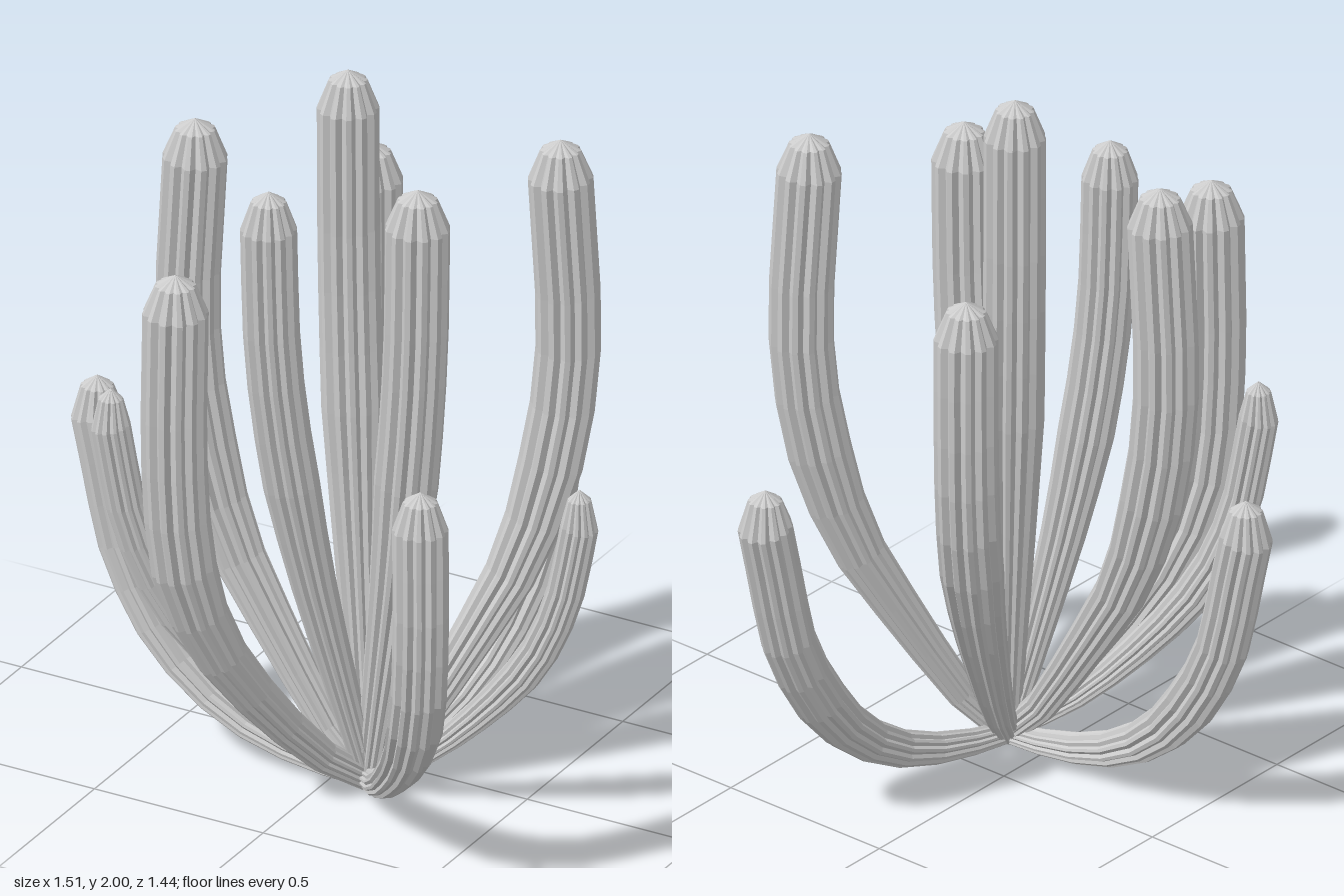
import * as THREE from 'three';

const BASE = new THREE.Vector3(0.11, 0.03, 0.145);
const RIBS = 12;
const RINGS = 11;

// Ways a stem bends, from root to shoulder:
// [fraction of the way out to the tip, fraction of the height]
const BENDS = {
  low: [[0.2, 0.05], [0.42, 0.1], [0.62, 0.2], [0.78, 0.35], [0.9, 0.54], [0.955, 0.73]],
  wide: [[0.22, 0.07], [0.52, 0.18], [0.79, 0.31], [0.95, 0.455], [1.005, 0.65]],
  tall: [[0.21, 0.077], [0.49, 0.2], [0.78, 0.34], [0.96, 0.5], [1.04, 0.67]],
  steep: [[0.22, 0.1], [0.5, 0.24], [0.77, 0.4], [0.95, 0.575], [1, 0.75]],
  thin: [[0.26, 0.13], [0.54, 0.29], [0.78, 0.47], [0.92, 0.66]],
  upright: [[0.26, 0.17], [0.58, 0.37], [0.83, 0.57], [0.96, 0.74]],
};

function stemGeometry(x, z, h, r, bend) {
  const at = (f, y) => new THREE.Vector3(
    BASE.x + (x - BASE.x) * f, y, BASE.z + (z - BASE.z) * f);
  const curve = new THREE.CatmullRomCurve3(
    [BASE, ...bend.map(([f, y]) => at(f, y * h)), at(1, h - 0.11)]);
  // Horizontal axis across the plane in which the stem bends
  const side = new THREE.Vector3(z - BASE.z, 0, BASE.x - x).normalize();

  // Rings along the stem, narrow at the root
  const rings = [];
  for (let i = 0; i <= RINGS; i++) {
    const t = i / RINGS;
    rings.push({ p: curve.getPointAt(t), d: curve.getTangentAt(t),
      r: r * Math.min(1, 0.4 + 1.1 * t) });
  }
  // Sloping shoulder ring under the pointed cap
  rings.push({ p: at(1, h - 0.03), d: new THREE.Vector3(0, 1, 0), r: r * 0.62 });

  // Ribbed cross-section: a groove, then a blunt two-cornered rib
  const n = RIBS * 3;
  const pos = [], index = [];
  for (const ring of rings) {
    const normal = new THREE.Vector3().crossVectors(ring.d, side).normalize();
    for (let k = 0; k < n; k++) {
      const a = (k / n) * Math.PI * 2;
      const rad = ring.r * (k % 3 === 0 ? 0.84 : 1);
      const v = ring.p.clone()
        .addScaledVector(side, Math.cos(a) * rad)
        .addScaledVector(normal, Math.sin(a) * rad);
      pos.push(v.x, Math.max(0, v.y), v.z);
    }
  }
  for (let i = 0; i < rings.length - 1; i++) {
    for (let k = 0; k < n; k++) {
      const a = i * n + k, b = i * n + (k + 1) % n;
      index.push(a, b, b + n, a, b + n, a + n);
    }
  }
  // Root disc and pointed cap
  const root = pos.length / 3, apex = root + 1, last = (rings.length - 1) * n;
  pos.push(BASE.x, BASE.y, BASE.z, x, h, z);
  for (let k = 0; k < n; k++) {
    const m = (k + 1) % n;
    index.push(root, m, k, apex, last + k, last + m);
  }
  const geo = new THREE.BufferGeometry();
  geo.setAttribute('position', new THREE.Float32BufferAttribute(pos, 3));
  geo.setIndex(index);
  const flat = geo.toNonIndexed();
  flat.computeVertexNormals();
  return flat;
}

export function createModel() {
  const cactus = new THREE.Group();
  cactus.name = 'cactus';
  const material = new THREE.MeshStandardMaterial({ color: 0xcccccc, flatShading: true });

  // Tip x, tip z, height, radius
  const addStem = (name, x, z, h, r, bend) => {
    const mesh = new THREE.Mesh(stemGeometry(x, z, h, r, bend), material);
    mesh.name = name;
    cactus.add(mesh);
  };

  // Low stems that sweep out along the ground
  addStem('backLowStem', 0.25, -0.66, 1.04, 0.072, BENDS.low);
  addStem('rightLowStem', -0.69, 0.15, 1.0, 0.07, BENDS.low);

  // Thin side stems
  addStem('leftThinStem', 0.70, 0.08, 0.99, 0.05, BENDS.thin);
  addStem('frontRightThinStem', -0.48, 0.45, 1.15, 0.052, BENDS.thin);

  // Thick stems that curve out and then rise
  addStem('frontLeftStem', 0.54, 0.63, 1.19, 0.073, BENDS.wide);
  addStem('frontRightStem', -0.22, 0.57, 1.6, 0.086, BENDS.wide);
  addStem('backRightStem', -0.15, -0.33, 1.6, 0.084, BENDS.steep);
  addStem('rightTallStem', -0.40, 0.15, 1.82, 0.085, BENDS.tall);
  addStem('backLeftTallStem', 0.48, -0.21, 1.82, 0.085, BENDS.tall);

  // Nearly straight stems in the middle
  addStem('leftUprightStem', 0.26, 0.15, 1.78, 0.085, BENDS.upright);
  addStem('centreStem', -0.02, 0.02, 2.0, 0.081, BENDS.upright);
  addStem('frontUprightStem', -0.08, 0.33, 1.77, 0.074, BENDS.upright);
  return cactus;
}
